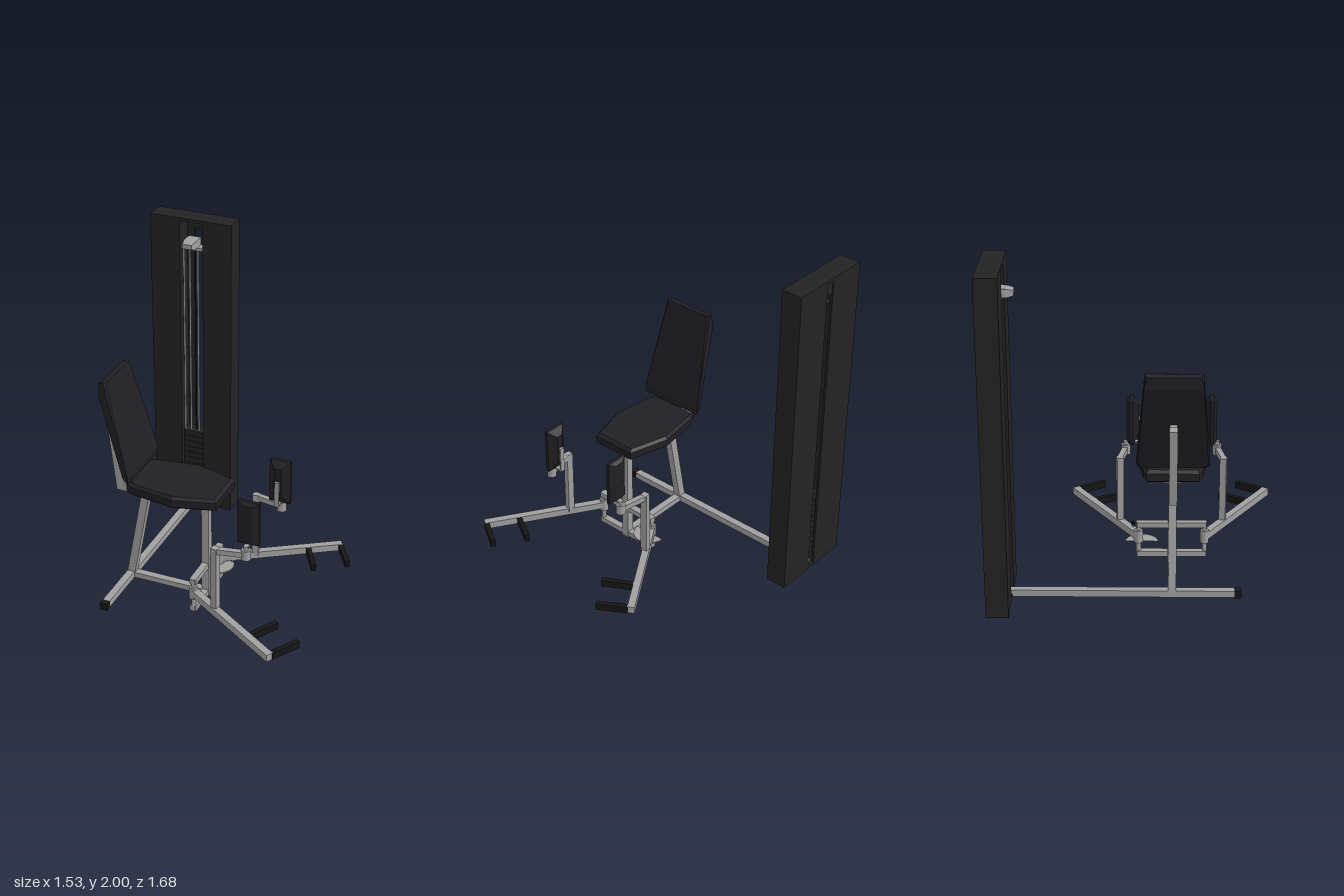
import * as THREE from 'three';
import { ConvexGeometry } from 'three/addons/geometries/ConvexGeometry.js';

export function createModel() {
  const model = new THREE.Group();
  model.name = 'legMachine';
  const mat = (name, color) => {
    const m = new THREE.MeshStandardMaterial({ color, flatShading: true });
    m.name = name;
    return m;
  };
  const steel = mat('greySteel', 0xa0a0a0);
  const dark = mat('darkCasing', 0x232323);
  const vinyl = mat('blackVinyl', 0x202024);
  const rubber = mat('blackRubber', 0x161616);

  const V = (x, y, z) => new THREE.Vector3(x, y, z);
  const add = (name, geo, m, parent = model) => {
    const mesh = new THREE.Mesh(geo, m);
    mesh.name = name;
    parent.add(mesh);
    return mesh;
  };
  // Box given by its limits on each axis
  const box = (name, m, x0, x1, y0, y1, z0, z1, parent) => {
    const mesh = add(name, new THREE.BoxGeometry(x1 - x0, y1 - y0, z1 - z0), m, parent);
    mesh.position.set((x0 + x1) / 2, (y0 + y1) / 2, (z0 + z1) / 2);
    return mesh;
  };
  // Square tube running from a to b
  const beam = (name, m, a, b, w, h, parent) => {
    const mesh = add(name, new THREE.BoxGeometry(w, h, a.distanceTo(b)), m, parent);
    mesh.position.copy(a).add(b).multiplyScalar(0.5);
    mesh.lookAt(b);
    return mesh;
  };
  // Upright cylinder
  const post = (name, m, x, z, y0, y1, r, parent, sides = 16) => {
    const mesh = add(name, new THREE.CylinderGeometry(r, r, y1 - y0, sides), m, parent);
    mesh.position.set(x, (y0 + y1) / 2, z);
    return mesh;
  };
  const C = 0.215; // centre line of the seat in z

  // Weight tower: casing with a recess in front and a narrow slot behind
  box('towerSide', dark, -0.77, -0.575, 0, 2, -0.84, -0.71);
  box('towerSide', dark, -0.425, -0.235, 0, 2, -0.84, -0.71);
  box('towerTop', dark, -0.575, -0.425, 1.98, 2, -0.84, -0.71);
  box('towerBottom', dark, -0.575, -0.425, 0, 0.02, -0.84, -0.71);
  box('towerBack', dark, -0.575, -0.526, 0.02, 1.98, -0.84, -0.825);
  box('towerBack', dark, -0.474, -0.425, 0.02, 1.98, -0.84, -0.825);
  box('towerBackUpper', dark, -0.526, -0.474, 1.9, 1.98, -0.835, -0.825);

  // Weight stack, guide rods and cable
  for (let i = 0; i < 12; i++) {
    const y = 0.05 + i * 0.04;
    box('weightPlate', dark, -0.57, -0.43, y, y + 0.036, -0.815, -0.73);
  }
  for (const x of [-0.566, -0.527, -0.473, -0.434])
    post('guideRod', steel, x, -0.75, 0.02, 1.81, 0.006, model, 10);
  post('cable', rubber, -0.5, -0.77, 0.5, 1.82, 0.005, model, 8);
  box('rodBracket', steel, -0.57, -0.43, 1.8, 1.82, -0.78, -0.715);
  const pulley = [];
  for (const [z, w, h] of [[-0.77, 0.04, 0.025], [-0.69, 0.04, 0.025], [-0.65, 0.03, 0.015]])
    for (const sx of [-1, 1]) for (const sy of [-1, 1])
      pulley.push(V(-0.5 + sx * w, 1.845 + sy * h, z));
  add('pulleyHousing', new ConvexGeometry(pulley), steel);

  // Floor frame
  box('floorBeam', steel, -0.523, -0.477, 0.004, 0.045, -0.815, 0.575);
  box('floorBeamCap', rubber, -0.524, -0.476, 0, 0.046, 0.575, 0.615);
  box('crossBeam', steel, -0.48, 0, 0.004, 0.04, C - 0.023, C + 0.023);

  // Seat frame
  box('seatPost', steel, -0.025, 0.022, 0, 0.66, C - 0.023, C + 0.023);
  box('seatRail', steel, -0.575, -0.025, 0.615, 0.66, C - 0.023, C + 0.023);
  beam('rearStrut', steel, V(-0.5, 0.03, C), V(-0.385, 0.64, C), 0.046, 0.05);
  beam('backUpright', steel, V(-0.548, 0.62, C), V(-0.6, 1.085, C), 0.046, 0.055);
  beam('backMount', steel, V(-0.595, 1.05, C), V(-0.51, 1.07, C), 0.04, 0.04);
  box('seatMount', steel, -0.36, -0.02, 0.655, 0.7, C - 0.05, C + 0.05);

  // Seat cushion: plan outline with bevelled lower and upper rims
  const plan = [[0.12, 0.138], [-0.13, 0.208], [-0.4, 0.17], [-0.445, 0.15]];
  const seat = [];
  for (const [y, k] of [[0.692, 0.93], [0.705, 1], [0.75, 1], [0.768, 0.93]])
    for (const [x, z] of plan) for (const s of [-1, 1])
      seat.push(V(-0.16 + (x + 0.16) * k, y, C + s * z * k));
  add('seatCushion', new ConvexGeometry(seat), vinyl);

  // Tapered, reclined back cushion: x rear, x front, y, half width
  const back = [];
  for (const [x, y, w] of [
    [-0.434, 0.785, 0.185], [-0.445, 0.82, 0.2], [-0.6, 1.32, 0.165], [-0.598, 1.39, 0.15],
    [-0.412, 0.785, 0.205], [-0.408, 0.83, 0.21], [-0.567, 1.4, 0.162], [-0.555, 1.398, 0.15],
    [-0.418, 0.86, 0.19],
  ]) for (const s of [-1, 1]) back.push(V(x, y, C + s * w));
  add('backCushion', new ConvexGeometry(back), vinyl);

  // Pivot frame below the seat
  box('pivotTopBar', steel, -0.022, 0.02, 0.202, 0.236, 0.005, 0.425);
  box('pivotBottomBar', steel, -0.022, 0.02, 0.01, 0.044, 0.005, 0.425);

  // Swinging leg lever, written for the z = 0 side and mirrored about the seat line
  for (const s of [1, -1]) {
    const g = new THREE.Group();
    g.name = s > 0 ? 'rightLever' : 'leftLever';
    model.add(g);
    const P = (x, y, z) => V(x, y, C + s * (z - C));
    const at = (z) => C + s * (z - C);

    post('pivotPin', steel, 0, at(0.015), 0.01, 0.236, 0.014, g);
    post('pivotHub', steel, 0, at(0.015), 0.1, 0.18, 0.026, g);
    beam('leverArm', steel, P(0.0, 0.143, 0.015), P(0.645, 0.143, -0.395), 0.044, 0.045, g);
    beam('footBar', rubber, P(0.645, 0.143, -0.375), P(0.745, 0.143, -0.213), 0.03, 0.044, g);
    beam('footBar', rubber, P(0.475, 0.143, -0.26), P(0.57, 0.143, -0.095), 0.03, 0.044, g);

    // Riser and arm carrying the pad
    const riser = box('riser', steel, 0.168, 0.208, 0.143, 0.575, -0.02, 0.02, g);
    riser.position.z = at(-0.1);
    riser.rotation.y = s * 0.2;
    beam('padArm', steel, P(0.185, 0.557, -0.102), P(0.355, 0.557, -0.07), 0.034, 0.034, g);
    post('padClamp', steel, 0.365, at(-0.067), 0.525, 0.588, 0.028, g);
    post('padPin', steel, 0.365, at(-0.067), 0.58, 0.612, 0.015, g);
    beam('padBracket', steel, P(0.365, 0.605, -0.075), P(0.365, 0.605, 0.028), 0.028, 0.01, g);
    const plate = box('padBracketPlate', steel, 0.351, 0.379, 0.6, 0.765, -0.005, 0.005, g);
    plate.position.z = at(0.024);
    beam('padBracketTop', steel, P(0.365, 0.76, -0.01), P(0.365, 0.76, 0.028), 0.028, 0.01, g);

    // Faceted thigh pad: z, half width, bottom, top
    const pad = [];
    for (const [z, w, y0, y1] of [
      [-0.062, 0.028, 0.625, 0.87], [-0.042, 0.066, 0.61, 0.89],
      [-0.022, 0.066, 0.606, 0.89], [0.015, 0.02, 0.67, 0.85],
    ]) for (const sx of [-1, 1]) for (const y of [y0, y1]) pad.push(P(0.367 + sx * w, y, z));
    add('thighPad', new ConvexGeometry(pad), vinyl, g);
  }

  // Range adjuster: half-round plate with a knobbed pin
  const plate = add('adjusterPlate',
    new THREE.CylinderGeometry(0.1, 0.1, 0.008, 16, 1, false, 0, Math.PI), steel);
  plate.position.set(-0.005, 0.1, 0.035);
  post('adjusterPin', steel, 0.07, -0.018, 0.1, 0.185, 0.006, model, 8);
  post('adjusterKnob', rubber, 0.07, -0.018, 0.18, 0.2, 0.011, model, 10);
  return model;
}
